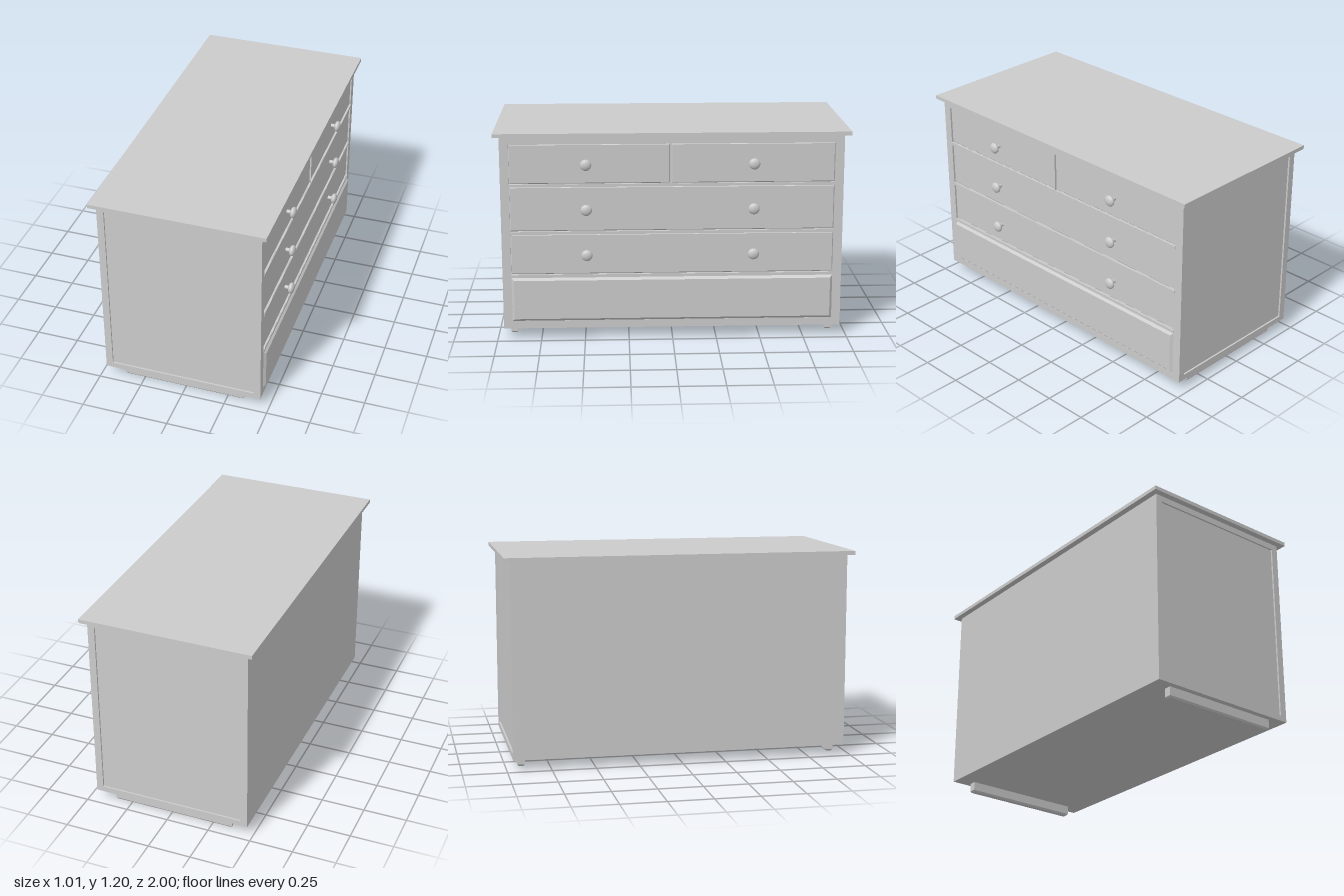
import * as THREE from 'three';

export function createModel() {
  const root = new THREE.Group();
  const mat = new THREE.MeshStandardMaterial({ color: 0xcccccc });

  function add(geometry, name) {
    const mesh = new THREE.Mesh(geometry, mat);
    mesh.name = name;
    root.add(mesh);
    return mesh;
  }

  // Box given by its limits
  function box(name, x0, x1, y0, y1, z0, z1) {
    const g = new THREE.BoxGeometry(x1 - x0, y1 - y0, z1 - z0);
    return add(g.translate((x0 + x1) / 2, (y0 + y1) / 2, (z0 + z1) / 2), name);
  }

  function rect(target, a0, a1, b0, b1) {
    target.moveTo(a0, b0);
    target.lineTo(a1, b0);
    target.lineTo(a1, b1);
    target.lineTo(a0, b1);
    target.closePath();
    return target;
  }

  // Flat board with rectangular openings
  function frame(outer, holes, depth) {
    const shape = rect(new THREE.Shape(), ...outer);
    for (const h of holes) shape.holes.push(rect(new THREE.Path(), ...h));
    return new THREE.ExtrudeGeometry(shape, { depth, bevelEnabled: false });
  }

  // Rectangular block with chamfered ends, spanning 0..height along z
  function chamferedBlock(a0, a1, b0, b1, height, inset, thickness) {
    const g = new THREE.ExtrudeGeometry(rect(new THREE.Shape(), a0, a1, b0, b1), {
      depth: height - 2 * thickness, bevelEnabled: true, bevelSegments: 1,
      bevelSize: inset, bevelOffset: -inset, bevelThickness: thickness,
    });
    return g.translate(0, 0, thickness);
  }

  // Carcass and top board
  box('carcass', -0.47, 0.437, 0.06, 1.175, -0.955, 0.955);
  box('topBoard', -0.505, 0.485, 1.175, 1.197, -1, 1);

  // Side frames around recessed panels
  for (const s of [-1, 1]) {
    const g = frame([-0.47, 0.437, 0.06, 1.175], [[-0.43, 0.412, 0.092, 1.14]], 0.01);
    add(g.translate(0, 0, s > 0 ? 0.955 : -0.965), s > 0 ? 'leftSideFrame' : 'rightSideFrame');
  }

  // Drawer openings: [z0, z1, y0, y1]
  const openings = [
    [0.014, 0.915, 0.905, 1.13], [-0.915, 0.006, 0.905, 1.13],
    [-0.915, 0.915, 0.632, 0.887],
    [-0.915, 0.915, 0.38, 0.613],
    [-0.915, 0.915, 0.105, 0.36],
  ];
  const faceHoles = openings.map(([z0, z1, y0, y1]) => [-z1, -z0, y0, y1]);
  const face = frame([-0.965, 0.965, 0.06, 1.175], faceHoles, 0.015);
  add(face.rotateY(Math.PI / 2).translate(0.437, 0, 0), 'drawerFrame');

  // Drawer fronts; the lowest is a raised, bevelled panel
  faceHoles.forEach(([a0, a1, y0, y1], i) => {
    const lowest = i === 4;
    const g = lowest
      ? chamferedBlock(a0, a1, y0, y1, 0.035, 0.014, 0.014)
      : chamferedBlock(a0, a1, y0, y1, 0.02, 0.005, 0.005);
    g.rotateY(Math.PI / 2).translate(lowest ? 0.43 : 0.425, 0, 0);
    add(g, lowest ? 'bottomDrawer' : 'drawer');
  });

  // Thin lips on the rails
  for (const y of [0.896, 0.622, 0.37])
    box('rail', 0.437, 0.455, y - 0.008, y + 0.008, -0.915, 0.915);

  // Turned knobs: stem plus flattened rounded head
  const profile = [[0, 0], [0.011, 0], [0.011, 0.03]];
  for (let i = 0; i <= 14; i++) {
    const t = -1.2 + (i / 14) * (1.2 + Math.PI / 2);
    profile.push([Math.max(0, 0.032 * Math.cos(t)), 0.048 + 0.018 * Math.sin(t)]);
  }
  const points = profile.map(([r, h]) => new THREE.Vector2(r, h));
  for (const y of [1.018, 0.76, 0.497])
    for (const z of [0.485, -0.457]) {
      const g = new THREE.LatheGeometry(points, 24).rotateZ(-Math.PI / 2);
      add(g, 'knob').position.set(0.435, y, z);
    }

  // Runner feet, chamfered at the floor
  for (const s of [-1, 1]) {
    const g = chamferedBlock(-0.367, 0.348, -0.021, 0.021, 0.08, 0.008, 0.01);
    g.rotateX(-Math.PI / 2).translate(0, 0, s * 0.911);
    add(g, s > 0 ? 'leftFoot' : 'rightFoot');
  }

  return root;
}
